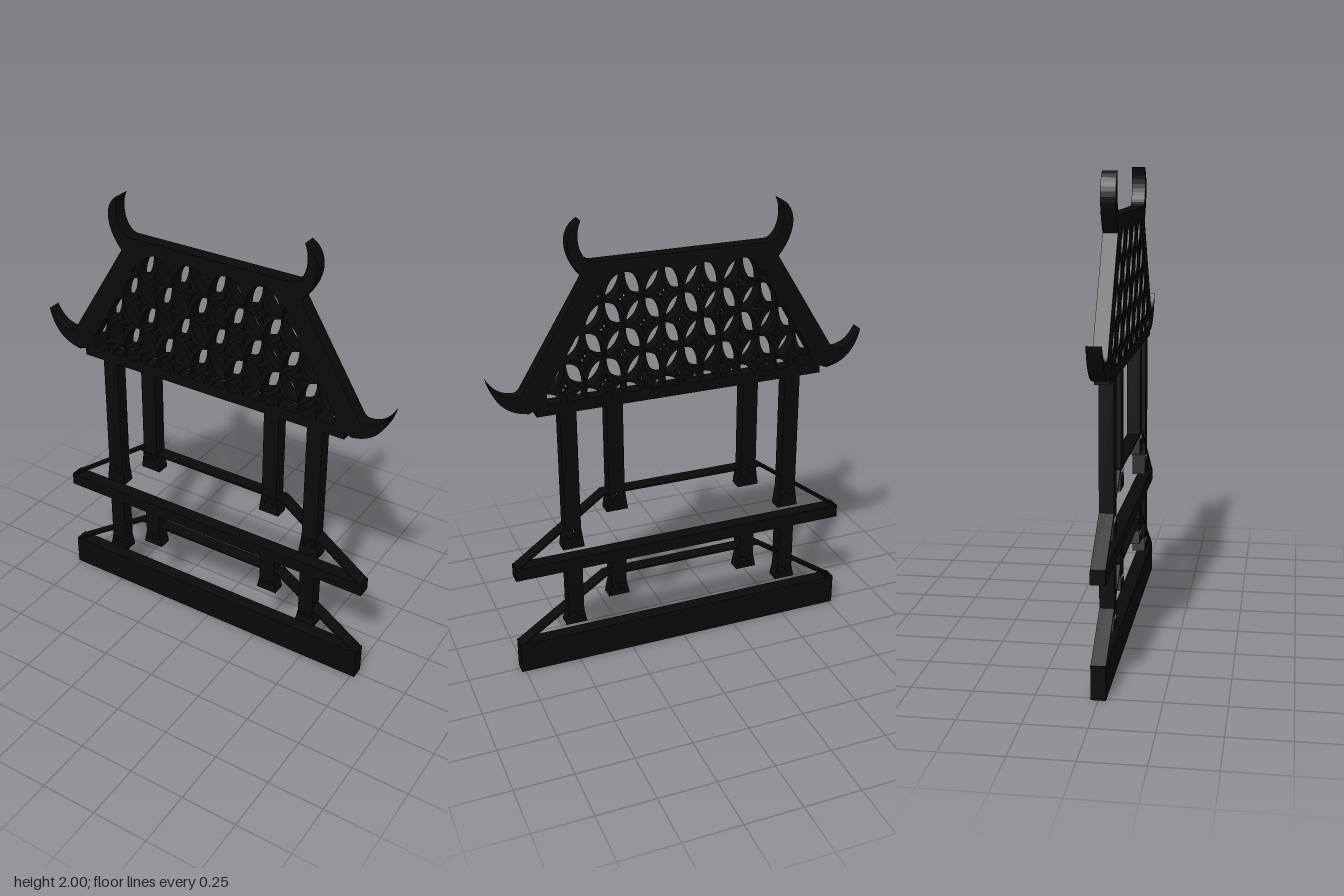
import * as THREE from 'three';

const DEPTH = 0.06;
const material = new THREE.MeshStandardMaterial({ color: 0x0a0a0a });

// Extrude an outline (with optional holes) to the common thickness
function plate(name, points, holes = []) {
  const shape = new THREE.Shape(points);
  for (const h of holes) shape.holes.push(new THREE.Path(h));
  const geo = new THREE.ExtrudeGeometry(shape, { depth: DEPTH, bevelEnabled: false });
  geo.translate(0, 0, -DEPTH / 2);
  const mesh = new THREE.Mesh(geo, material);
  mesh.name = name;
  return mesh;
}

const pts = (list) => list.map(([x, y]) => new THREE.Vector2(x, y));

function bar(name, x0, x1, y0, y1) {
  const mesh = new THREE.Mesh(new THREE.BoxGeometry(x1 - x0, y1 - y0, DEPTH), material);
  mesh.position.set((x0 + x1) / 2, (y0 + y1) / 2, 0);
  mesh.name = name;
  return mesh;
}

// Thin perspective outline of a floor, open at the bottom
function floorOutline(name, y0, y1) {
  const t = 0.008;
  return plate(name, pts([
    [-0.767, y0], [-0.365, y1], [0.365, y1], [0.767, y0],
    [0.752, y0], [0.362, y1 - t], [-0.362, y1 - t], [-0.752, y0],
  ]));
}

// Post with a crown-toothed foot below it
function post(name, x, foot, bottom, top) {
  const g = new THREE.Group();
  g.name = name;
  g.add(bar('shaft', x - 0.035, x + 0.035, bottom, top));
  const valley = foot + (bottom - foot) * 0.5;
  g.add(plate('foot', pts([
    [x - 0.048, foot], [x + 0.048, foot], [x + 0.036, bottom + 0.002],
    [x + 0.019, valley], [x, bottom - 0.01], [x - 0.019, valley], [x - 0.036, bottom + 0.002],
  ])));
  return g;
}

// Sloping roof edge with an upturned horn at both ends
function roofEdge(name, side) {
  const s = new THREE.Shape();
  s.moveTo(-0.3, 1.828);
  s.lineTo(-0.32, 1.77);
  s.lineTo(-0.628, 1.25);
  s.lineTo(-0.67, 1.233);
  s.quadraticCurveTo(-0.8, 1.25, -0.828, 1.39);
  s.quadraticCurveTo(-0.79, 1.31, -0.715, 1.31);
  s.quadraticCurveTo(-0.7, 1.31, -0.685, 1.335);
  s.lineTo(-0.42, 1.765);
  s.bezierCurveTo(-0.5, 1.86, -0.5, 1.96, -0.426, 2);
  s.bezierCurveTo(-0.46, 1.93, -0.43, 1.83, -0.37, 1.828);
  return plate(name, s.getPoints(12).map((p) => new THREE.Vector2(-side * p.x, p.y)));
}

// Clip a convex polygon to a convex counter-clockwise region
function clip(poly, region) {
  let out = poly;
  region.forEach((a, i) => {
    const b = region[(i + 1) % region.length];
    const dist = (p) => (b.x - a.x) * (p.y - a.y) - (b.y - a.y) * (p.x - a.x);
    const next = [];
    out.forEach((p, k) => {
      const q = out[(k + 1) % out.length];
      const dp = dist(p), dq = dist(q);
      if (dp >= 0) next.push(p);
      if (dp * dq < 0) next.push(p.clone().lerp(q, dp / (dp - dq)));
    });
    out = next;
  });
  return out;
}

// Pierced roof panel: interlaced ellipses give diagonal petals around small stars
function roofLattice() {
  const a = 0.085, b = 0.1175, cy = 1.545;
  const region = pts([[-0.62, 1.262], [0.62, 1.262], [0.316, 1.777], [-0.316, 1.777]]);
  const holes = [];
  const inside = (p) => Math.abs(p.x) < 0.62 - (p.y - 1.262) * 0.59 - 0.03 && p.y > 1.29 && p.y < 1.75;
  const add = (poly) => {
    const c = clip(poly, region);
    if (c.length > 2 && Math.abs(THREE.ShapeUtils.area(c)) > 0.0004) holes.push(c);
  };
  for (let j = -4; j <= 4; j++) {
    for (let i = -9; i <= 9; i++) {
      if ((i + j) % 2 !== 0) continue;
      const x = i * a, y = cy + j * b;
      // The two petals above this centre, leaning left and right
      for (const s of [-1, 1]) {
        const petal = [];
        const mid = new THREE.Vector2(0.5, 0.5);
        for (let k = 0; k < 16; k++) {
          const t = ((k % 8) / 8) * Math.PI / 2;
          const p = k < 8
            ? new THREE.Vector2(Math.cos(t), Math.sin(t))
            : new THREE.Vector2(1 - Math.cos(t), 1 - Math.sin(t));
          p.sub(mid).multiplyScalar(0.94).add(mid);
          petal.push(new THREE.Vector2(x + s * a * p.x, y + b * p.y));
        }
        if (s < 0) petal.reverse();
        add(petal);
      }
      // Four-pointed star
      if (inside(new THREE.Vector2(x, y))) {
        const star = [];
        for (let k = 0; k < 8; k++) {
          const r = k % 2 ? 0.13 : 0.42, t = k * Math.PI / 4;
          star.push(new THREE.Vector2(x + a * r * Math.cos(t), y + b * r * Math.sin(t)));
        }
        holes.push(star);
      }
    }
  }
  return plate('roofLattice', pts([[-0.636, 1.25], [0.636, 1.25], [0.32, 1.79], [-0.32, 1.79]]), holes);
}

export function createModel() {
  const model = new THREE.Group();
  model.name = 'pavilion';

  // Floors
  model.add(bar('base', -0.767, 0.767, 0, 0.14));
  model.add(floorOutline('baseOutline', 0.135, 0.41));
  model.add(bar('deck', -0.767, 0.767, 0.467, 0.525));
  model.add(floorOutline('deckOutline', 0.52, 0.812));

  // Posts, mirrored left and right
  for (const s of [-1, 1]) {
    const side = s > 0 ? 'left' : 'right';
    model.add(post(side + 'FrontPost', s * 0.507, 0.575, 0.662, 1.22));
    model.add(post(side + 'BackPost', s * 0.307, 0.72, 0.806, 1.22));
    model.add(post(side + 'FrontStilt', s * 0.507, 0.195, 0.25, 0.47));
    model.add(post(side + 'BackStilt', s * 0.307, 0.295, 0.35, 0.47));
    model.add(roofEdge(side + 'RoofEdge', s));
  }

  // Roof
  model.add(bar('eaveBeam', -0.638, 0.638, 1.213, 1.262));
  model.add(bar('ridgeBeam', -0.39, 0.39, 1.777, 1.83));
  model.add(roofLattice());
  return model;
}
